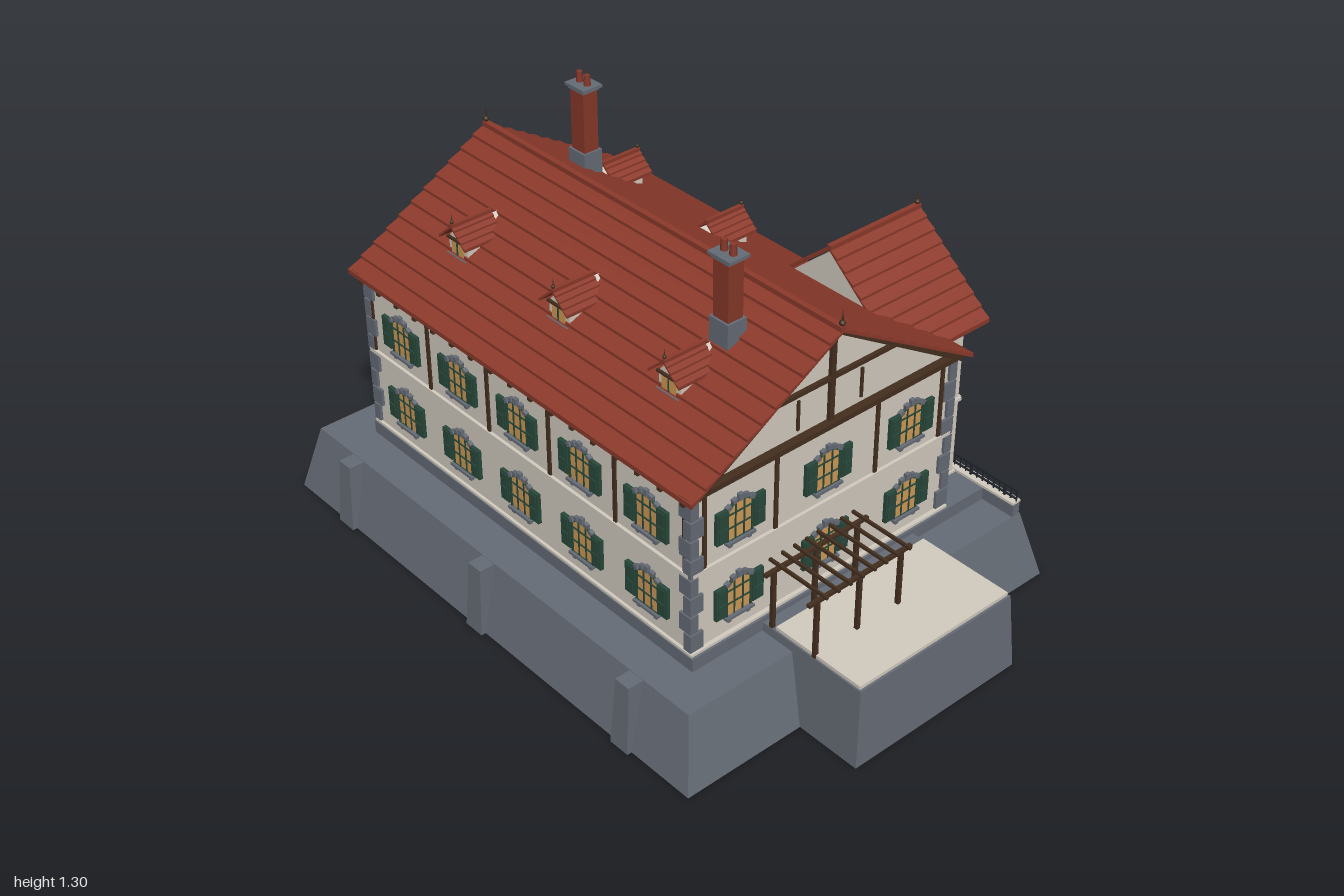
import * as THREE from 'three';

const mat = (name, color) => {
  const m = new THREE.MeshStandardMaterial({ color });
  m.name = name;
  return m;
};

export function createModel() {
  const stone = mat('stone', 0x666c76), plaster = mat('plaster', 0xd3ccc0), tile = mat('roof tile', 0x8c3a2b);
  const timber = mat('timber', 0x432f1e), green = mat('shutter green', 0x28493b), glass = mat('lit glass', 0xd09a56);
  const iron = mat('iron', 0x22262b), brick = mat('brick', 0x87382a);
  const root = new THREE.Group();
  root.name = 'house';

  const group = (parent, name, x = 0, y = 0, z = 0, ry = 0) => {
    const g = new THREE.Group();
    g.name = name;
    g.position.set(x, y, z);
    g.rotation.y = ry;
    parent.add(g);
    return g;
  };
  const add = (parent, name, geo, m, x = 0, y = 0, z = 0) => {
    const o = new THREE.Mesh(geo, m);
    o.name = name;
    o.position.set(x, y, z);
    parent.add(o);
    return o;
  };
  // box given by its minimum and maximum on each axis
  const span = (parent, name, m, x0, x1, y0, y1, z0, z1) =>
    add(parent, name, new THREE.BoxGeometry(x1 - x0, y1 - y0, z1 - z0), m, (x0 + x1) / 2, (y0 + y1) / 2, (z0 + z1) / 2);
  const prism = (pts, z0, z1) => new THREE.ExtrudeGeometry(new THREE.Shape(pts.map(p => new THREE.Vector2(...p))),
    { depth: z1 - z0, bevelEnabled: false }).translate(0, 0, z0);
  // box whose top is a different rectangle from its bottom: [x0, x1, z0, z1]
  const frustum = (parent, name, m, y0, y1, b, t) => {
    const g = new THREE.BoxGeometry(1, 1, 1), p = g.attributes.position;
    for (let i = 0; i < p.count; i++) {
      const r = p.getY(i) > 0 ? t : b;
      p.setXYZ(i, p.getX(i) < 0 ? r[0] : r[1], p.getY(i) > 0 ? y1 : y0, p.getZ(i) < 0 ? r[2] : r[3]);
    }
    g.computeVertexNormals();
    return add(parent, name, g, m);
  };
  // gable roof along z with stepped tile courses
  const roof = (parent, name, half, eave, ridge, z0, z1, n, step, thick) => {
    const right = [];
    for (let i = 0; i < n; i++) {
      const a = i / n, b = (i + 1) / n, h = ridge - step - eave;
      right.push([half * (1 - a), eave + h * a + step], [half * (1 - b), eave + h * b]);
    }
    const left = right.slice(0, -1).reverse().map(([x, y]) => [-x, y]);
    const pts = [[half, eave - thick], ...right, ...left, [-half, eave - thick], [0, ridge - step - thick]];
    add(parent, name, prism(pts, z0, z1), tile);
    span(parent, 'ridgeCap', tile, -step, step, ridge - step * 1.5, ridge + step * 0.3, z0, z1);
  };
  const finial = (parent, x, y, z, h) => {
    add(parent, 'finial', new THREE.ConeGeometry(h * 0.1, h, 6), timber, x, y + h / 2, z);
    add(parent, 'finialBall', new THREE.SphereGeometry(h * 0.14, 8, 6), timber, x, y + h * 0.35, z);
  };

  // stone platform, buttresses and side terrace
  frustum(root, 'platform', stone, 0, 0.22, [-1, 0.79, -0.685, 0.69], [-0.945, 0.735, -0.63, 0.64]);
  for (const x of [-0.745, -0.107, 0.53])
    frustum(root, 'buttress', stone, 0, 0.218, [x - 0.035, x + 0.035, 0.6, 0.705], [x - 0.027, x + 0.027, 0.6, 0.69]);
  for (const x of [-0.745, 0.53])
    frustum(root, 'buttress', stone, 0, 0.218, [x - 0.035, x + 0.035, -0.69, -0.6], [x - 0.027, x + 0.027, -0.68, -0.6]);
  frustum(root, 'terrace', stone, 0, 0.247, [0.6, 1, -0.325, 0.29], [0.62, 0.985, -0.305, 0.272]);
  span(root, 'terracePaving', plaster, 0.665, 0.978, 0.245, 0.258, -0.3, 0.267);
  span(root, 'baseCourse', stone, -0.82, 0.62, 0.22, 0.262, -0.597, 0.525);
  span(root, 'baseTrim', plaster, -0.818, 0.613, 0.262, 0.27, -0.45, 0.522);

  // arched window with bars, shutters, sill and stone arch; origin at the sill
  const arch = (w, h, rise) => {
    const s = new THREE.Shape();
    s.moveTo(-w, 0).lineTo(w, 0).lineTo(w, h).quadraticCurveTo(0, h + rise * 2, -w, h);
    return s;
  };
  const win = group(new THREE.Group(), 'window');
  const frameShape = arch(0.046, 0.1, 0.021);
  frameShape.holes.push(arch(0.04, 0.098, 0.018));
  add(win, 'pane', new THREE.ExtrudeGeometry(arch(0.044, 0.1, 0.02), { depth: 0.004, bevelEnabled: false, curveSegments: 5 }), glass);
  add(win, 'frame', new THREE.ExtrudeGeometry(frameShape, { depth: 0.008, bevelEnabled: false, curveSegments: 5 }), green);
  for (const x of [-0.015, 0.015]) span(win, 'bar', green, x - 0.002, x + 0.002, 0, 0.112, 0.002, 0.007);
  for (const y of [0.04, 0.083]) span(win, 'crossbar', green, -0.042, 0.042, y - 0.002, y + 0.002, 0.002, 0.007);
  span(win, 'sill', stone, -0.05, 0.05, -0.008, 0, 0, 0.016);
  for (const s of [-1, 1]) {
    span(win, 'corbel', stone, s * 0.034 - 0.006, s * 0.034 + 0.006, -0.02, -0.008, 0, 0.01);
    span(win, 'shutter', green, s * 0.065 - 0.019, s * 0.065 + 0.019, 0.008, 0.107, 0, 0.012);
    for (const y of [0.012, 0.06]) span(win, 'shutterPanel', green, s * 0.065 - 0.013, s * 0.065 + 0.013, y, y + 0.042, 0.012, 0.015);
  }
  for (let i = -2; i <= 2; i++) {
    const b = add(win, 'archStone', new THREE.BoxGeometry(0.015, i ? 0.013 : 0.02, 0.012), stone, i * 0.0205, 0.127 - i * i * 0.0045, 0.006);
    b.rotation.z = -i * 0.2;
  }

  // one wall face: windows on two floors, upper posts, floor band, eaves beam
  const facade = (name, cx, cz, ry, dist, half, windows, posts) => {
    const g = group(root, name, cx, 0, cz, ry);
    for (const x of windows) for (const y of [0.325, 0.575]) {
      const w = win.clone();
      w.position.set(x, y, dist);
      g.add(w);
    }
    for (const x of posts) span(g, 'post', timber, x - 0.006, x + 0.006, 0.53, 0.775, dist, dist + 0.006);
    span(g, 'floorBand', plaster, -half, half, 0.519, 0.53, dist - 0.01, dist + 0.01);
    span(g, 'eavesBeam', timber, -half, half, 0.766, 0.785, dist - 0.01, dist + 0.01);
    return g;
  };
  // timber frame of a gable
  const gable = (g, dist, half, apex, extra) => {
    const rise = apex - 0.785, len = Math.hypot(half, rise);
    span(g, 'tieBeam', timber, -half - 0.03, half + 0.03, 0.777, 0.793, dist - 0.01, dist + 0.025);
    span(g, 'kingPost', timber, -0.008, 0.008, 0.79, apex - 0.01, dist, dist + 0.012);
    span(g, 'collar', timber, -half * 0.53, half * 0.53, 0.785 + rise * 0.46, 0.797 + rise * 0.46, dist, dist + 0.012);
    for (const s of [-1, 1]) {
      if (extra) span(g, 'stud', timber, s * extra - 0.004, s * extra + 0.004, 0.81, 0.785 + rise * 0.4, dist, dist + 0.006);
      const r = add(g, 'rakeTimber', new THREE.BoxGeometry(len, 0.012, 0.03), timber, s * half / 2, 0.785 + rise / 2 - 0.004, dist + 0.015);
      r.rotation.z = -s * Math.atan2(rise, half);
    }
  };

  // main block
  const CX = -0.105, CZ = 0.035;
  const main = group(root, 'mainBlock', CX, 0, CZ, Math.PI / 2);
  add(main, 'walls', prism([[-0.478, 0.25], [0.478, 0.25], [0.478, 0.785], [0, 1.07], [-0.478, 0.785]], -0.705, 0.705), plaster);
  roof(main, 'mainRoof', 0.512, 0.782, 1.092, -0.745, 0.745, 11, 0.009, 0.006);
  for (const s of [-1, 1]) finial(main, 0, 1.08, s * 0.738, 0.065);
  const columns = [-0.54, -0.27, 0, 0.27, 0.54], beams = [-0.685, -0.41, -0.135, 0.135, 0.41, 0.685];
  const front = facade('frontFace', CX, CZ, 0, 0.478, 0.705, columns, beams);
  const back = facade('backFace', CX, CZ, Math.PI, 0.478, 0.705, [0, 0.27, 0.54], [0.135, 0.41, 0.685, -0.685]);
  for (const g of [front, back]) for (let i = 0; i < 17; i++) {
    const x = -0.7 + i * 0.0875;
    if (g === front || x > -0.1) span(g, 'rafterTail', timber, x - 0.007, x + 0.007, 0.757, 0.773, 0.47, 0.505);
  }
  for (const s of [-1, 1]) {
    const side = facade(s > 0 ? 'leftFace' : 'rightFace', CX, CZ, s * Math.PI / 2, 0.705, 0.478, [-0.315, 0, 0.315], [-0.435, -0.185, 0.185, 0.435]);
    gable(side, 0.705, 0.478, 1.077, 0.115);
  }
  // corner stones
  for (const sx of [-1, 1]) for (const sz of [-1, 1]) for (let i = 0; i < 8; i++) {
    const a = i % 2 ? 0.045 : 0.028, b = i % 2 ? 0.028 : 0.045;
    add(root, 'cornerStone', new THREE.BoxGeometry(a, 0.056, b), stone,
      CX + sx * (0.714 - a / 2), 0.302 + i * 0.0615, CZ + sz * (0.487 - b / 2));
  }

  // rear wing
  const wing = group(root, 'wing', 0.26, 0, 0);
  add(wing, 'wingWalls', prism([[-0.25, 0.25], [0.25, 0.25], [0.25, 0.8], [0, 1.012], [-0.25, 0.8]], -0.585, -0.3), plaster);
  roof(wing, 'wingRoof', 0.288, 0.78, 1.032, -0.645, -0.29, 9, 0.008, 0.006);
  finial(wing, 0, 1.02, -0.636, 0.06);
  span(wing, 'wingTrim', plaster, -0.255, 0.255, 0.262, 0.27, -0.592, -0.4);
  for (const s of [-1, 1]) span(wing, 'wingBand', plaster, s * 0.25 - 0.008, s * 0.25 + 0.008, 0.519, 0.53, -0.59, -0.44);
  gable(facade('wingFace', 0.26, 0, Math.PI, 0.585, 0.25, [-0.135, 0.135], []), 0.585, 0.25, 1.012, 0.07);

  // dormers
  const dormer = (x, ry) => {
    const g = group(root, 'dormer', x, 0, CZ, ry);
    add(g, 'dormerWalls', prism([[-0.043, 0.86], [0.043, 0.86], [0.043, 0.938], [0, 0.984], [-0.043, 0.938]], 0.17, 0.322), plaster);
    span(g, 'dormerPane', glass, -0.028, 0.028, 0.893, 0.932, 0.322, 0.326);
    span(g, 'dormerBar', green, -0.002, 0.002, 0.893, 0.932, 0.322, 0.329);
    span(g, 'dormerSill', stone, -0.045, 0.045, 0.882, 0.89, 0.32, 0.334);
    span(g, 'dormerBeam', timber, -0.045, 0.045, 0.935, 0.942, 0.32, 0.33);
    roof(g, 'dormerRoof', 0.06, 0.938, 0.998, 0.205, 0.345, 4, 0.006, 0.004);
    finial(g, 0, 0.992, 0.34, 0.04);
  };
  for (const x of [-0.56, -0.107, 0.343]) dormer(x, 0);
  for (const x of [-0.56, -0.107]) dormer(x, Math.PI);

  // chimneys
  const chimney = (x, z, top) => {
    const g = group(root, 'chimney', x, 0, z);
    span(g, 'chimneyBase', stone, -0.036, 0.036, 0.93, 1.06, -0.033, 0.033);
    span(g, 'chimneyStack', brick, -0.029, 0.029, 1.06, top, -0.026, 0.026);
    span(g, 'chimneyNeck', stone, -0.034, 0.034, top - 0.004, top + 0.004, -0.03, 0.03);
    span(g, 'chimneyCap', stone, -0.042, 0.042, top + 0.004, top + 0.013, -0.035, 0.035);
    for (const s of [-1, 1]) add(g, 'chimneyPot', new THREE.CylinderGeometry(0.009, 0.011, 0.034, 8), brick, s * 0.017, top + 0.028, 0);
  };
  chimney(-0.573, -0.118, 1.255);
  chimney(0.37, 0.183, 1.237);

  // iron railing running along local x
  const railing = (name, x, y, z, ry, len, h) => {
    const g = group(root, name, x, y, z, ry);
    span(g, 'topRail', iron, 0, len, h - 0.006, h, -0.005, 0.005);
    span(g, 'bottomRail', iron, 0, len, 0.007, 0.011, -0.003, 0.003);
    const n = Math.round(len / 0.022);
    for (let i = 0; i <= n; i++) {
      const w = i % 6 ? 0.0017 : 0.0035, px = w + (len - 2 * w) * i / n;
      span(g, 'baluster', iron, px - w, px + w, 0, h - 0.003, -w, w);
    }
  };
  for (const [a, b] of [[-0.945, -0.255], [0.04, 0.735]]) {
    span(root, 'curb', stone, a, b, 0.22, 0.262, -0.625, -0.598);
    span(root, 'coping', plaster, a, b, 0.262, 0.27, -0.628, -0.595);
    railing('terraceRailing', a, 0.27, -0.611, 0, b - a, 0.042);
  }

  // entrance steps and lantern posts
  for (let i = 0; i < 3; i++) span(root, 'step', stone, -0.21, 0.005, 0.22, 0.235 + i * 0.0145, -0.705 + i * 0.032, -0.59);
  for (const x of [-0.226, 0.019]) span(root, 'stepCheek', stone, x - 0.016, x + 0.016, 0.22, 0.285, -0.708, -0.595);
  for (const x of [-0.253, 0.042]) {
    const g = group(root, 'lanternPost', x, 0, -0.612);
    span(g, 'newel', stone, -0.018, 0.018, 0.22, 0.365, -0.018, 0.018);
    span(g, 'newelCap', stone, -0.024, 0.024, 0.365, 0.373, -0.024, 0.024);
    span(g, 'lantern', glass, -0.009, 0.009, 0.373, 0.393, -0.009, 0.009);
    add(g, 'lanternTop', new THREE.ConeGeometry(0.015, 0.014, 4), iron, 0, 0.4, 0);
  }

  // rear loggia with balcony
  span(root, 'balconyFloor', plaster, -0.665, 0.012, 0.505, 0.53, -0.597, -0.44);
  span(root, 'balconyBeam', plaster, -0.655, 0.012, 0.485, 0.505, -0.588, -0.562);
  railing('balconyRailing', -0.66, 0.53, -0.588, 0, 0.67, 0.07);
  railing('balconyEndRailing', -0.66, 0.53, -0.443, Math.PI / 2, 0.145, 0.07);
  for (const x of [-0.645, -0.485, -0.325, -0.165, -0.01]) {
    add(root, 'column', new THREE.CylinderGeometry(0.011, 0.014, 0.2, 12), plaster, x, 0.38, -0.575);
    span(root, 'columnBase', stone, x - 0.018, x + 0.018, 0.262, 0.285, -0.593, -0.557);
    span(root, 'capital', plaster, x - 0.019, x + 0.019, 0.472, 0.486, -0.594, -0.556);
  }

  // pergola on the side terrace
  const pergola = group(root, 'pergola');
  for (const x of [0.648, 0.81]) {
    span(pergola, 'pergolaBeam', timber, x - 0.006, x + 0.006, 0.432, 0.442, -0.082, 0.298);
    for (const z of [-0.045, 0.11, 0.265]) span(pergola, 'pergolaPost', timber, x - 0.006, x + 0.006, 0.24, 0.433, z - 0.006, z + 0.006);
  }
  for (let i = 0; i < 8; i++) span(pergola, 'pergolaSlat', timber, 0.612, 0.828, 0.441, 0.45, -0.066 + i * 0.044, -0.058 + i * 0.044);

  return root;
}
